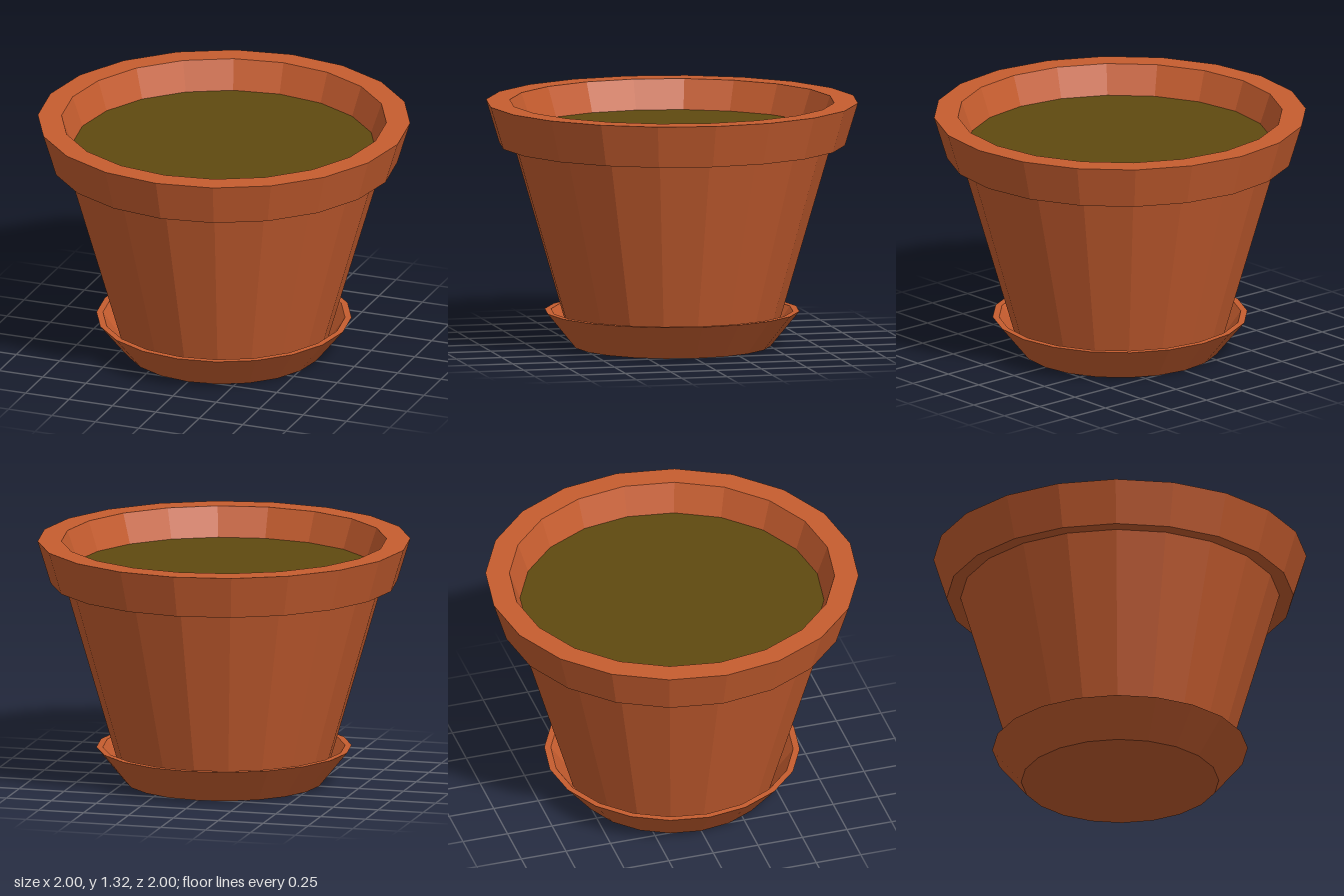
import * as THREE from 'three';

const SIDES = 20;

export function createModel() {
  const model = new THREE.Group();
  model.name = 'flowerPot';

  const terracotta = new THREE.MeshStandardMaterial({ color: 0xc65d2f, flatShading: true });
  terracotta.name = 'terracotta';
  const earth = new THREE.MeshStandardMaterial({ color: 0x5f4a10, flatShading: true });
  earth.name = 'earth';

  // Revolves a [radius, height] profile into a faceted part
  function turned(name, profile, material) {
    const points = profile.map(([r, y]) => new THREE.Vector2(r, y));
    const mesh = new THREE.Mesh(new THREE.LatheGeometry(points, SIDES), material);
    mesh.name = name;
    model.add(mesh);
  }

  // Saucer: base, flared outside, thin lip, inside wall and floor
  turned('saucer', [[0, 0], [0.53, 0], [0.685, 0.19], [0.65, 0.19], [0.55, 0.05], [0, 0.05]], terracotta);

  // Tapered pot body, meeting the underside of the rim
  turned('potBody', [[0.55, 0.04], [0.855, 1.09]], terracotta);

  // Overhanging rim with its flat top and sloping inside wall
  turned('rim', [[0.855, 1.09], [0.93, 1.09], [1, 1.32], [0.872, 1.32], [0.815, 1.16]], terracotta);

  // Soil surface filling the opening
  turned('soil', [[0.815, 1.16], [0, 1.16]], earth);

  return model;
}
